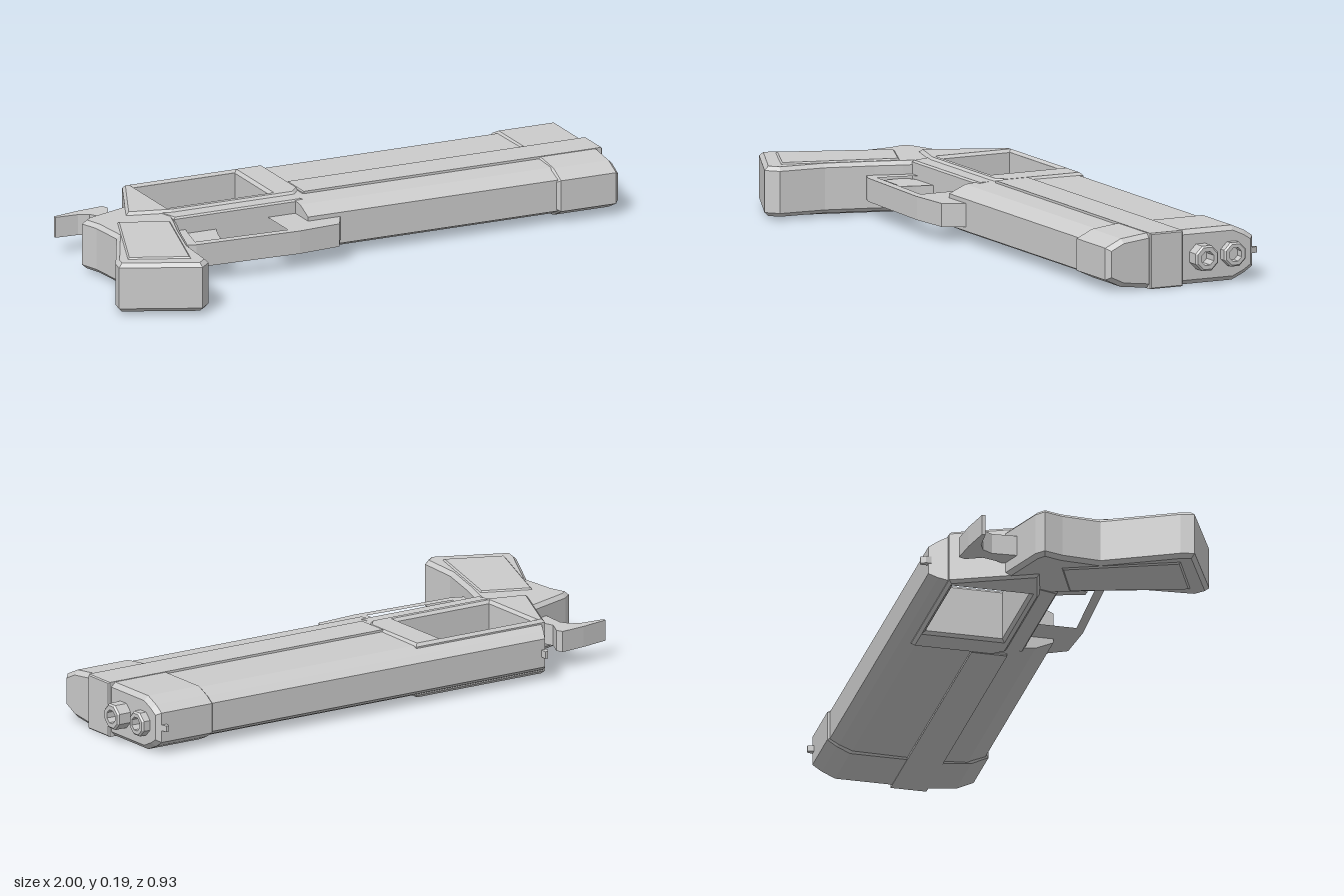
import * as THREE from 'three';

const MID = 0.097; // height of the mirror plane

export function createModel() {
  const group = new THREE.Group();
  const mat = new THREE.MeshStandardMaterial({ color: 0xcccccc, flatShading: true });

  const add = (name, geo) => {
    const mesh = new THREE.Mesh(geo, mat);
    mesh.name = name;
    group.add(mesh);
    return mesh;
  };
  const extrude = (shape, depth, bevel) => new THREE.ExtrudeGeometry(shape, {
    depth: depth - 2 * bevel, steps: 1, bevelEnabled: bevel > 0, bevelSegments: 1,
    bevelSize: bevel, bevelThickness: bevel, bevelOffset: -bevel,
  }).translate(0, 0, bevel);
  const toShape = pts => new THREE.Shape(pts.map(([a, b]) => new THREE.Vector2(a, b)));
  const flip = pts => pts.map(([x, z]) => [x, -z]);

  // Flat part: [x, z] outline given a height range, with optional holes
  const plate = (name, pts, y0, y1, bevel = 0, holes = []) => {
    const shape = toShape(flip(pts));
    holes.forEach(h => shape.holes.push(new THREE.Path(flip(h).map(([x, y]) => new THREE.Vector2(x, y)))));
    return add(name, extrude(shape, y1 - y0, bevel).rotateX(-Math.PI / 2).translate(0, y0, 0));
  };
  // Long part: half section [z, half height] mirrored about MID, swept from x0 to x1
  const sweep = (name, half, x0, x1, bevel = 0) => {
    const pts = [...half.map(([z, h]) => [-z, MID + h]), ...half.slice().reverse().map(([z, h]) => [-z, MID - h])];
    return add(name, extrude(toShape(pts), x1 - x0, bevel).rotateY(Math.PI / 2).translate(x0, 0, 0));
  };

  // Barrel housing: upper and lower shells, centre band, muzzle sleeve
  sweep('upperShell', [[-0.44, 0.048], [-0.41, 0.066], [-0.365, 0.084], [-0.12, 0.086]], -0.14, 0.93);
  sweep('lowerShell', [[-0.12, 0.086], [-0.05, 0.085], [0.025, 0.079], [0.085, 0.053]], -0.18, 0.93);
  sweep('centreBand', [[-0.178, 0.093], [-0.057, 0.093]], -0.13, 0.96, 0.004);
  sweep('muzzleSleeve',
    [[-0.447, 0.05], [-0.415, 0.071], [-0.37, 0.091], [-0.055, 0.091], [0.04, 0.08], [0.097, 0.053]],
    0.72, 0.95, 0.015);

  // Top rail above the window, with a slanted rear end
  const rail = sweep('topRail', [[-0.44, 0.048], [-0.41, 0.066], [-0.365, 0.084], [-0.36, 0.084]], -0.59, -0.13);
  const p = rail.geometry.attributes.position;
  for (let i = 0; i < p.count; i++) {
    if (p.getX(i) < -0.5) p.setX(i, -0.59 - 0.45 * (p.getZ(i) + 0.44));
  }
  rail.geometry.computeVertexNormals();

  // Frame with a rectangular window through it
  plate('windowFrame',
    [[-0.63, -0.38], [-0.12, -0.38], [-0.12, -0.105], [-0.155, -0.065], [-0.6, -0.065], [-0.75, -0.105]],
    0.005, 0.19, 0.01,
    [[[-0.6, -0.36], [-0.6, -0.1], [-0.23, -0.1], [-0.23, -0.36]]]);
  plate('lowerFrame', [[-0.64, -0.08], [-0.15, -0.08], [-0.15, -0.01], [-0.62, -0.01]], 0.012, 0.182, 0.006);

  // Trigger guard and trigger
  plate('triggerGuard',
    [[-0.64, -0.03], [-0.1, -0.03], [-0.06, 0.08], [-0.1, 0.155], [-0.25, 0.168], [-0.62, 0.153], [-0.68, 0.13]],
    0.058, 0.136, 0,
    [[[-0.58, -0.012], [-0.28, -0.012], [-0.28, 0.138], [-0.61, 0.123]]]);
  plate('trigger',
    [[-0.63, 0.01], [-0.57, -0.02], [-0.465, -0.02], [-0.488, 0.045], [-0.505, 0.11],
      [-0.53, 0.112], [-0.535, 0.09], [-0.63, 0.09]], 0.072, 0.122);

  // Grip with raised side panels
  plate('grip',
    [[-0.9, -0.125], [-0.87, -0.15], [-0.7, -0.21], [-0.6, -0.07], [-0.625, 0.02], [-0.655, 0.11], [-0.7, 0.27],
      [-0.71, 0.43], [-0.75, 0.467], [-1, 0.355], [-0.99, 0.31], [-0.92, 0.17], [-0.87, 0.07], [-0.88, -0.06]],
    0.014, 0.18, 0.013);
  plate('gripPanels', [[-0.81, -0.045], [-0.65, 0.02], [-0.76, 0.4], [-0.95, 0.32]], 0.009, 0.185, 0.005);

  // Hammer with a curved spur
  plate('hammer',
    [[-0.9, -0.337], [-0.8, -0.357], [-0.71, -0.367], [-0.7, -0.345], [-0.725, -0.29], [-0.71, -0.24], [-0.68, -0.18],
      [-0.77, -0.17], [-0.765, -0.27], [-0.785, -0.305], [-0.82, -0.32], [-0.9, -0.325]], 0.062, 0.132);

  // Sights on the top edge
  plate('rearSight', [[-0.595, -0.43], [-0.595, -0.45], [-0.585, -0.465], [-0.575, -0.465], [-0.575, -0.43]], 0.085, 0.109);
  plate('frontSight', [[0.91, -0.43], [0.92, -0.467], [0.93, -0.467], [0.94, -0.43]], 0.087, 0.107);

  // Two octagonal barrel ends with recessed bores
  const tube = (name, z, r, x1) => {
    const bore = [[0, 0.93], [0.024, 0.93], [0.024, x1], [r - 0.006, x1], [r, x1 - 0.006], [r, 0.9]];
    const geo = new THREE.LatheGeometry(bore.reverse().map(([a, b]) => new THREE.Vector2(a, b)), 8, Math.PI / 8);
    const mesh = add(name, geo.rotateZ(-Math.PI / 2).translate(0, MID, z));
    mesh.material = mat.clone();
    mesh.material.side = THREE.DoubleSide;
  };
  tube('lowerBarrel', -0.248, 0.045, 1);
  tube('upperBarrel', -0.362, 0.043, 0.98);

  return group;
}
